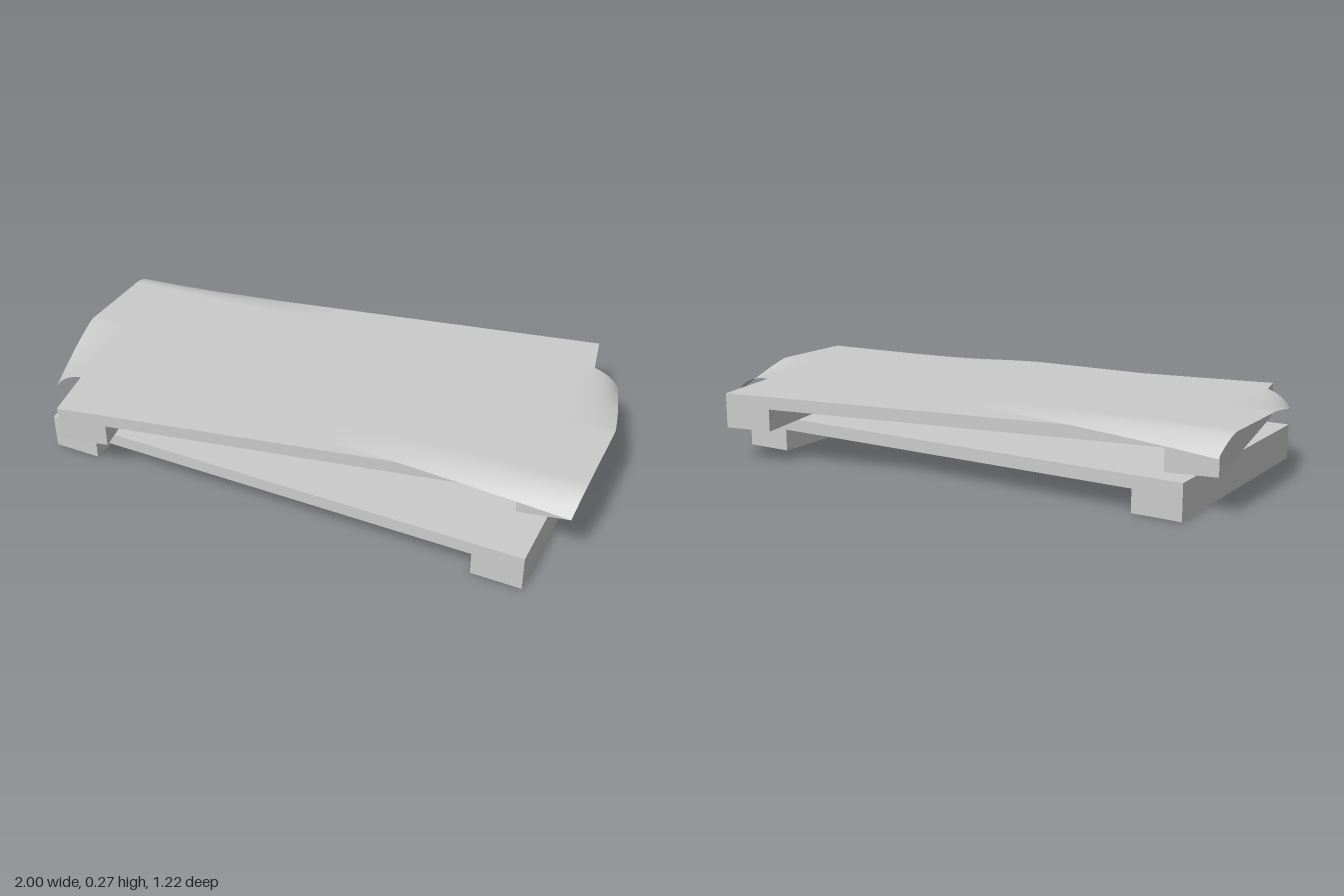
import * as THREE from 'three';

const grey = new THREE.MeshStandardMaterial({ color: 0xcccccc });
const clothGrey = new THREE.MeshStandardMaterial({ color: 0xcccccc, side: THREE.DoubleSide });

// Slab with a foot under each end: a channel profile extruded along z
function makeSlab(name) {
  const w = 0.89, h = 0.125, foot = 0.175, under = 0.08, depth = 0.9;
  const s = new THREE.Shape();
  s.moveTo(-w, 0);
  s.lineTo(-w + foot, 0);
  s.lineTo(-w + foot, under);
  s.lineTo(w - foot, under);
  s.lineTo(w - foot, 0);
  s.lineTo(w, 0);
  s.lineTo(w, h);
  s.lineTo(-w, h);
  s.closePath();
  const geo = new THREE.ExtrudeGeometry(s, { depth, bevelEnabled: false });
  geo.translate(0, 0, -depth / 2);
  const mesh = new THREE.Mesh(geo, grey);
  mesh.name = name;
  return mesh;
}

const ramp = (t, a, b, p) => Math.pow(THREE.MathUtils.clamp((t - a) / (b - a), 0, 1), p);

// Sag where the sheet overhangs; u, v run -1..1 along and across the sheet
const endSag = (u, v) => 0.071 * ramp(-v, 0.08, 1, 1.15) * ramp(u, 0.78, 1, 1.8);
const sideSag = (u, v) => 0.066 * ramp(u, 0.1, 1, 1.3) * ramp(v, 0.7, 1, 2);

// Thin sheet, flat in the middle, sagging at its corners with half-turn symmetry
function makeCloth() {
  const geo = new THREE.PlaneGeometry(2, 2, 80, 60);
  geo.rotateX(-Math.PI / 2);
  const p = geo.attributes.position;
  for (let i = 0; i < p.count; i++) {
    const u = p.getX(i), v = p.getZ(i);
    const e1 = endSag(u, v), e2 = endSag(-u, -v);
    const s1 = sideSag(u, v), s2 = sideSag(-u, -v);
    const x = u - 1.15 * (e1 - e2) - 0.22 * (s1 - s2) * ramp(Math.abs(u), 0.8, 1, 1);
    const z = 0.01 + 0.396 * v - 0.037 * u;
    p.setXYZ(i, x, 0.272 - e1 - e2 - s1 - s2, z);
  }
  geo.computeVertexNormals();
  const mesh = new THREE.Mesh(geo, clothGrey);
  mesh.name = 'cloth';
  return mesh;
}

export function createModel() {
  const model = new THREE.Group();
  model.name = 'stackedSlabs';

  const lower = makeSlab('lowerSlab');
  lower.position.z = 0.065;

  // Upper slab is turned slightly on the lower one
  const upper = makeSlab('upperSlab');
  upper.position.y = 0.1255;
  upper.rotation.y = 0.19;

  model.add(lower, upper, makeCloth());
  return model;
}
